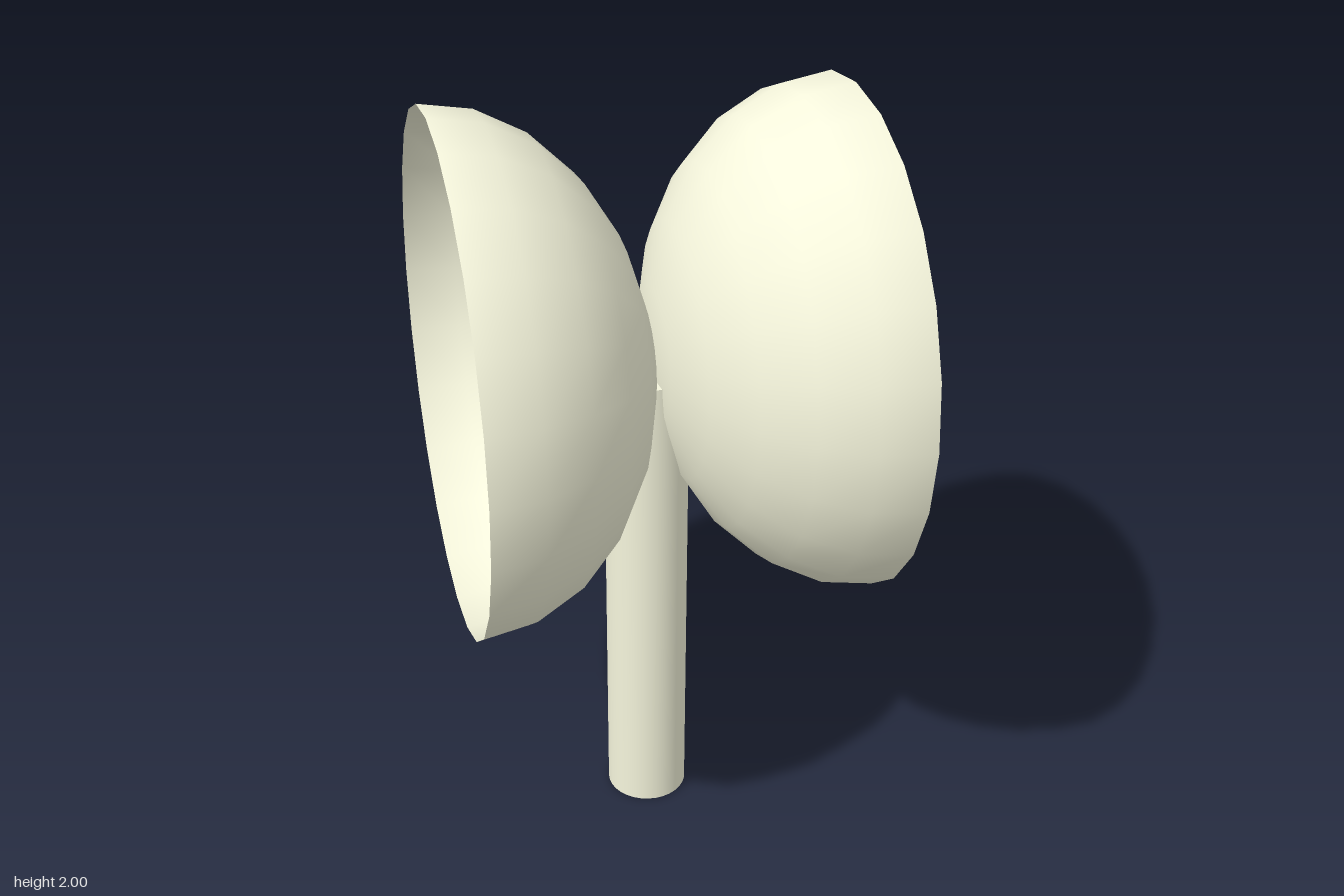
import * as THREE from 'three';

const RADIUS = 0.65, DEPTH = 0.51, CENTRE_Y = 1.35;
const POLE_RADIUS = 0.108, POLE_HEIGHT = 1.3;

export function createModel() {
  const model = new THREE.Group();
  const cream = new THREE.MeshStandardMaterial({ color: 0xf5f5dc });
  const shell = new THREE.MeshStandardMaterial({ color: 0xf5f5dc, side: THREE.DoubleSide });

  // Upright post, its top reaching through both bowls
  const pole = new THREE.Mesh(new THREE.CylinderGeometry(POLE_RADIUS, POLE_RADIUS, POLE_HEIGHT, 32), cream);
  pole.name = 'pole';
  pole.position.y = POLE_HEIGHT / 2;
  model.add(pole);

  // Two thin open bowls, back to back, touching at their crowns
  for (const side of [1, -1]) {
    const geometry = new THREE.SphereGeometry(RADIUS, 24, 6, 0, Math.PI * 2, 0, Math.PI / 2);
    geometry.scale(1, DEPTH / RADIUS, 1);
    geometry.rotateZ(side * Math.PI / 2);
    const bowl = new THREE.Mesh(geometry, shell);
    bowl.name = side > 0 ? 'leftBowl' : 'rightBowl';
    bowl.position.set(side * DEPTH, CENTRE_Y, 0);
    model.add(bowl);
  }
  return model;
}
